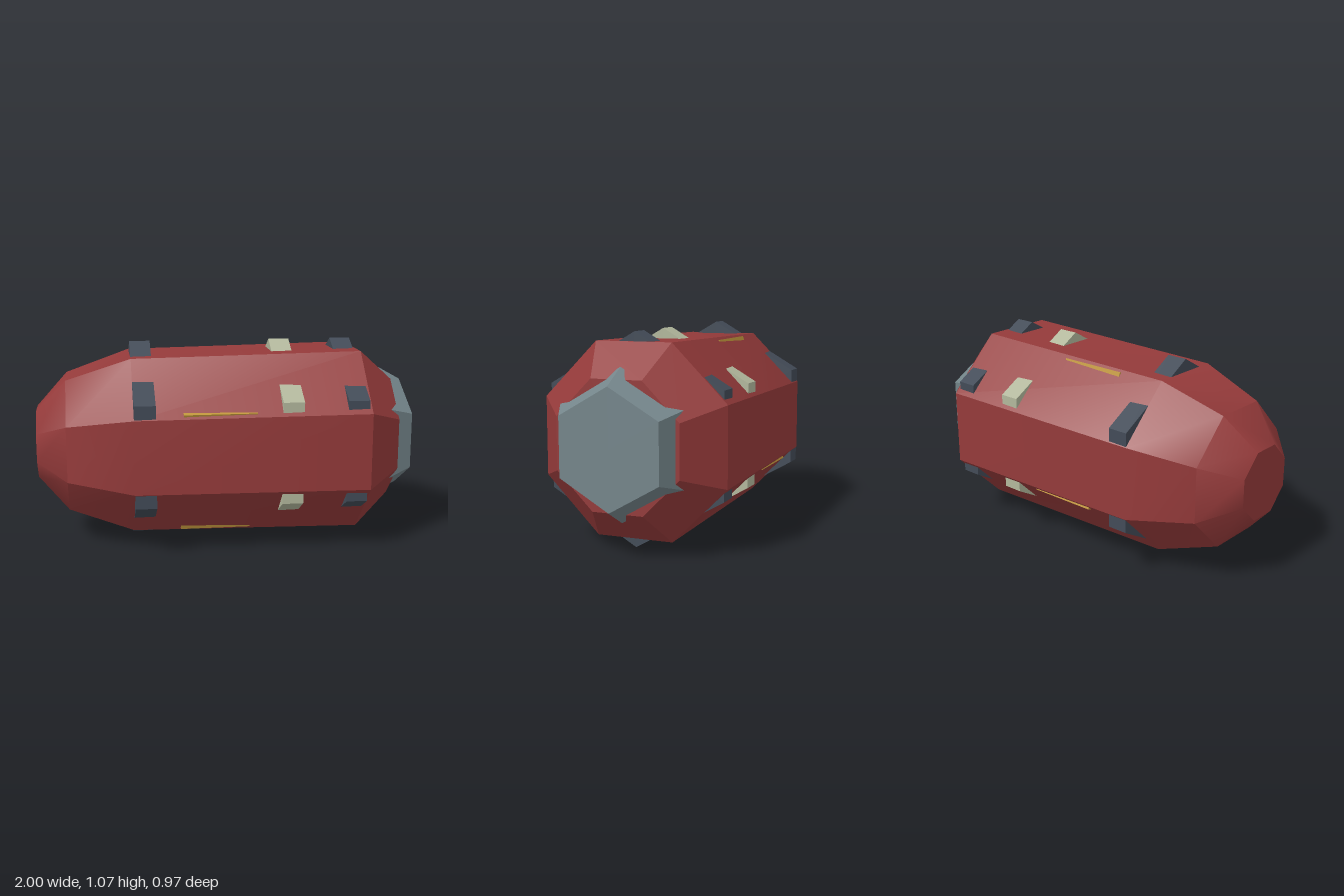
import * as THREE from 'three';
import { toCreasedNormals } from 'three/addons/utils/BufferGeometryUtils.js';

const CENTRE_Y = 0.533;
const RAD = Math.PI / 180;

const red = new THREE.MeshStandardMaterial({ name: 'hullRed', color: 0x943a3a });
const grey = new THREE.MeshStandardMaterial({ name: 'engineGrey', color: 0x74858a });
const dark = new THREE.MeshStandardMaterial({ name: 'darkSlate', color: 0x424b57 });
const cream = new THREE.MeshStandardMaterial({ name: 'cream', color: 0xb2b79c });
const gold = new THREE.MeshStandardMaterial({ name: 'gold', color: 0xc0963c });

// Flat-sided prism along x; corner = angle of one edge from +z towards +y
function prism(x0, x1, r0, r1, sides, corner) {
  const g = new THREE.CylinderGeometry(r1, r0, x1 - x0, sides, 1, false, -corner * RAD);
  g.rotateZ(-Math.PI / 2);
  g.translate((x0 + x1) / 2, 0, 0);
  const flat = g.toNonIndexed();
  flat.computeVertexNormals();
  return flat;
}

// Octagonal hull, profile given as [x, half height across flats]
function hullGeometry() {
  const profile = [[-1, 0], [-1, 0.18], [-0.84, 0.35], [-0.5, 0.465], [0.72, 0.485], [0.91, 0.32], [0.91, 0]];
  const points = profile.map(([x, a]) => new THREE.Vector2(a / Math.cos(22.5 * RAD), x));
  const g = new THREE.LatheGeometry(points, 8, 22.5 * RAD);
  g.rotateZ(-Math.PI / 2);
  return toCreasedNormals(g, 32 * RAD);
}

export function createModel() {
  const model = new THREE.Group();
  model.name = 'pod';

  function add(name, geometry, material) {
    const mesh = new THREE.Mesh(geometry, material);
    mesh.name = name;
    mesh.position.y = CENTRE_Y;
    model.add(mesh);
  }

  add('hull', hullGeometry(), red);

  // Hexagonal end plug, its corners stand proud of the hull
  add('endPlug', prism(0.86, 1, 0.375, 0.297, 6, 30), grey);

  // Hexagonal bands whose corners break through the hull as lugs
  const bands = [
    ['noseBand', -0.5, dark],
    ['middleBand', 0.257, cream],
    ['tailBand', 0.597, dark],
  ];
  for (const [name, x, material] of bands) {
    add(name, prism(x, x + 0.11, 0.533, 0.533, 6, 30), material);
  }

  // Square core whose corners show as thin strips
  add('trimStrips', prism(-0.25, 0.125, 0.51, 0.51, 4, 25), gold);

  return model;
}
